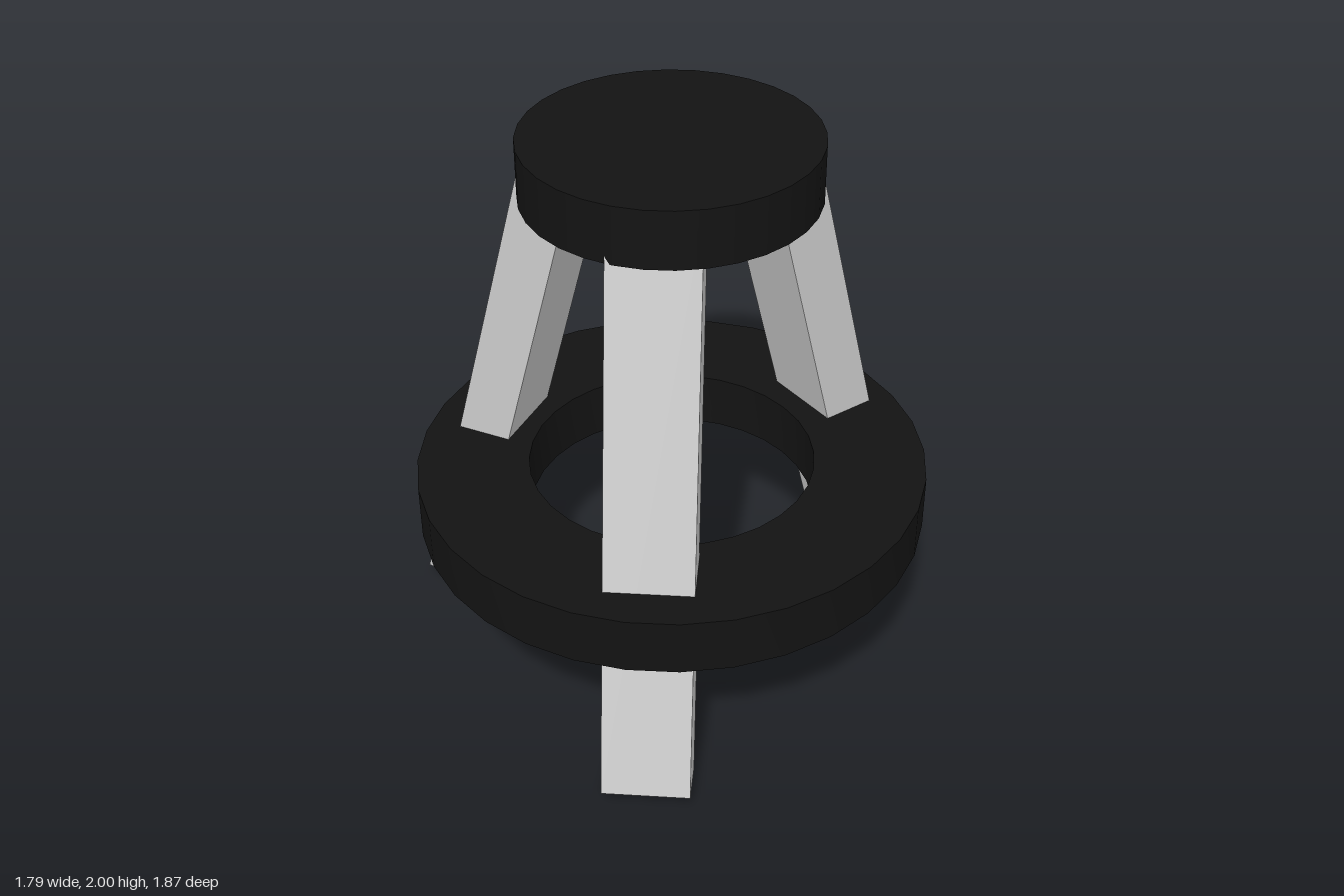
import * as THREE from 'three';
import { toCreasedNormals } from 'three/addons/utils/BufferGeometryUtils.js';

const CENTRE_Z = 0.045;
const TILT = THREE.MathUtils.degToRad(15.1);

export function createModel() {
  const group = new THREE.Group();
  const black = new THREE.MeshStandardMaterial({ color: 0x131313 });
  const grey = new THREE.MeshStandardMaterial({ color: 0xcccccc });

  // Round seat
  const seat = new THREE.Mesh(new THREE.CylinderGeometry(0.492, 0.492, 0.2, 32), black);
  seat.name = 'seat';
  seat.position.set(0.003, 1.9, CENTRE_Z);
  group.add(seat);

  // Flat footrest ring with a rectangular section
  const section = [[0.5, 0.56], [0.89, 0.56], [0.89, 0.76], [0.5, 0.76], [0.5, 0.56]]
    .map(([r, y]) => new THREE.Vector2(r, y));
  const ring = new THREE.Mesh(toCreasedNormals(new THREE.LatheGeometry(section, 32), 0.5), black);
  ring.name = 'footrestRing';
  ring.position.set(0.003, 0, CENTRE_Z);
  group.add(ring);

  // Leg: a box whose origin is the middle of its outer bottom edge, leaning inwards
  const width = 0.297, depth = 0.191, length = 2.0;
  const legGeometry = new THREE.BoxGeometry(width, length, depth)
    .translate(0, length / 2, -depth / 2)
    .rotateX(-TILT);

  // Outer foot position and outward heading (turn about y from +z)
  const legs = [
    ['backLeg', 0.003, -0.93, 180],
    ['frontRightLeg', -0.821, 0.53, -60],
    ['frontLeftLeg', 0.715, 0.661, 50],
  ];
  for (const [name, x, z, heading] of legs) {
    const leg = new THREE.Mesh(legGeometry, grey);
    leg.name = name;
    leg.position.set(x, depth * Math.sin(TILT), z);
    leg.rotation.y = THREE.MathUtils.degToRad(heading);
    group.add(leg);
  }
  return group;
}
